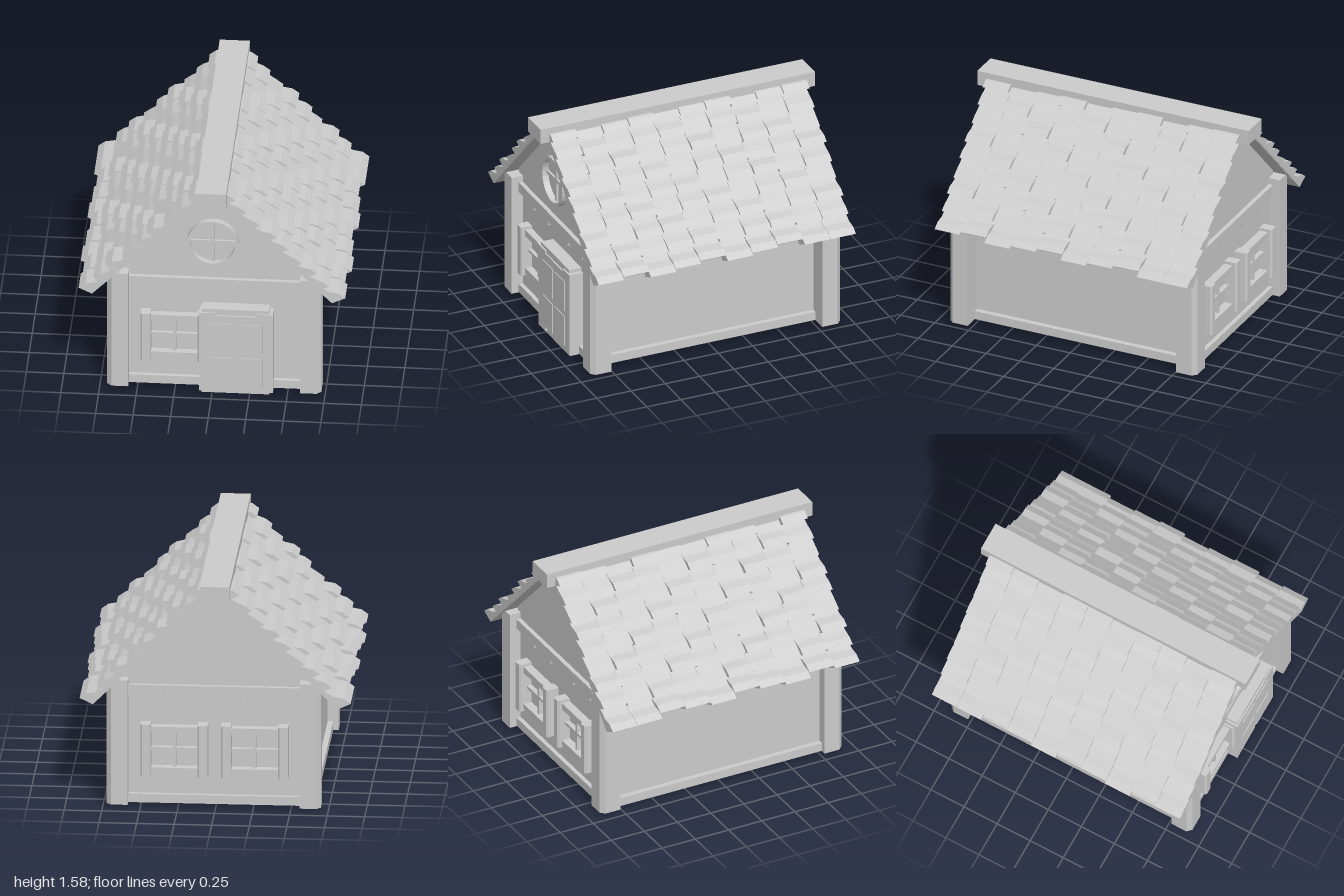
import * as THREE from 'three';
import { mergeGeometries } from 'three/addons/utils/BufferGeometryUtils.js';

const material = new THREE.MeshStandardMaterial({ color: 0xcccccc, flatShading: true });

function add(parent, name, geometry) {
  const mesh = new THREE.Mesh(geometry, material);
  mesh.name = name;
  parent.add(mesh);
  return mesh;
}

// Box given by its limits on each axis
function box(x0, x1, y0, y1, z0, z1) {
  return new THREE.BoxGeometry(x1 - x0, y1 - y0, z1 - z0)
    .translate((x0 + x1) / 2, (y0 + y1) / 2, (z0 + z1) / 2);
}

// Outline in x and y, extruded from z0 to z1
function slab(points, z0, z1) {
  const shape = new THREE.Shape(points.map(([x, y]) => new THREE.Vector2(x, y)));
  return new THREE.ExtrudeGeometry(shape, { depth: z1 - z0, bevelEnabled: false }).translate(0, 0, z0);
}

// Outline in x and z, standing from y0 to y1
function upright(points, y0, y1) {
  return slab(points.map(([x, z]) => [x, -z]), y0, y1).rotateX(-Math.PI / 2);
}

// Post with its outer corner cut off; sx and sz pick the corner of the house
function cornerPost(sx, sz) {
  const w = 0.071, cut = 0.03;
  const outline = [[-w, -w], [w, -w], [w, w - cut], [w - cut, w], [-w, w]];
  const points = outline.map(([x, z]) => [sx * (0.642 + x) + 0.012, sz * (0.84 + z)]);
  return upright(points, 0.017, 0.885);
}

// Board with pointed scallops hanging from its lower edge
function scallopedBoard(half, centres, z0, z1) {
  const points = [[half, 0.84], [-half, 0.84], [-half, 0.77]];
  for (const c of centres) {
    points.push([c - 0.06, 0.77], [c - 0.055, 0.74], [c, 0.71], [c + 0.055, 0.74], [c + 0.06, 0.77]);
  }
  points.push([half, 0.77]);
  return slab(points, z0, z1);
}

// Window facing +z, centred on x = 0 and the wall face at z = 0
function makeWindow() {
  const w = new THREE.Group();
  w.name = 'window';
  const w2 = 0.034, cut = 0.012;
  const outline = [[-w2, -0.01], [w2, -0.01], [w2, 0.08 - cut], [w2 - cut, 0.08], [cut - w2, 0.08], [-w2, 0.08 - cut]];
  for (const s of [-1, 1]) add(w, 'windowPost', upright(outline.map(([x, z]) => [x + s * 0.19, z]), 0.22, 0.58));
  add(w, 'windowSill', box(-0.18, 0.18, 0.235, 0.275, -0.07, 0.05));
  add(w, 'windowHead', box(-0.18, 0.18, 0.515, 0.56, -0.07, 0.05));
  add(w, 'verticalBar', box(-0.01, 0.01, 0.275, 0.515, -0.055, 0.025));
  add(w, 'horizontalBar', box(-0.18, 0.18, 0.39, 0.41, -0.065, 0.025));
  return w;
}

// Point on a roof slope: s runs down from the ridge, n stands off the underside
const k = Math.SQRT1_2;
const roofPoint = (side, s, n) => [side * (s + n) * k, 1.535 + (n - s) * k];

function makeRoof() {
  const roof = new THREE.Group();
  roof.name = 'roof';
  let seed = 7;
  const random = () => (seed = (seed * 16807) % 2147483647) / 2147483647;
  const columns = 10, rows = 9, width = 1.87 / columns;
  const reach = [0.028, -0.012, 0.008];
  for (const side of [-1, 1]) {
    const deck = [[0, 0], [1.12, 0], [1.12, 0.025], [0, 0.025]];
    add(roof, 'roofDeck', slab(deck.map(([s, n]) => roofPoint(side, s, n)), -0.93, 0.93));
    const tiles = [];
    for (let c = 0; c < columns; c++) {
      for (let r = 0; r < rows; r++) {
        // The eaves row steps in and out by column, the others vary a little
        const eaves = r === 0;
        const end = 1.155 - r * 0.127 + (eaves ? reach[c === 0 ? 0 : (c + 2) % 3] : (random() - 0.5) * 0.02);
        const tip = eaves ? 0.092 : 0.062 + 0.012 * ((c * 2 + r) % 3) + random() * 0.008;
        const start = Math.max(end - 0.2, 0.01);
        const foot = eaves ? 0 : 0.004;
        const profile = [[start, foot], [end - 0.033, foot], [end, tip],
          [end - 0.055, tip - 0.008], [end - 0.11, 0.046], [start, 0.025]];
        const z = -0.935 + c * width;
        tiles.push(slab(profile.map(([s, n]) => roofPoint(side, s, n)), z + 0.001, z + width - 0.001));
      }
    }
    add(roof, 'roofShingles', mergeGeometries(tiles));
  }
  add(roof, 'ridgeBeam', box(-0.1, 0.1, 1.475, 1.58, -1, 1));
  return roof;
}

function makeDoor() {
  const door = new THREE.Group();
  door.name = 'door';
  add(door, 'doorSlab', box(0.02, 0.3, 0.05, 0.6, 0.82, 0.93));
  for (const x of [-0.085, 0.3]) add(door, 'doorStile', box(x, x + 0.105, 0.02, 0.62, 0.82, 0.93));
  add(door, 'doorLintel', box(-0.07, 0.38, 0.6, 0.645, 0.81, 0.92));
  add(door, 'doorStep', box(-0.07, 0.38, 0, 0.05, 0.84, 0.915));
  // Four shallow panels
  for (const x of [0.065, 0.255]) {
    for (const y of [0.17, 0.43]) add(door, 'doorPanel', box(x - 0.08, x + 0.08, y - 0.11, y + 0.11, 0.92, 0.936));
  }
  return door;
}

// Ring with a crossed bar in the front gable
function makeRoundWindow() {
  const w = new THREE.Group();
  w.name = 'roundWindow';
  const ring = new THREE.Shape().absarc(0, 0, 0.172, 0, Math.PI * 2);
  ring.holes.push(new THREE.Path().absarc(0, 0, 0.15, 0, Math.PI * 2, true));
  add(w, 'roundFrame', new THREE.ExtrudeGeometry(ring, { depth: 0.05, bevelEnabled: false, curveSegments: 14 }));
  add(w, 'verticalBar', box(-0.011, 0.011, -0.152, 0.152, 0, 0.02));
  add(w, 'horizontalBar', box(-0.152, 0.152, -0.011, 0.011, 0, 0.02));
  w.position.set(0, 1.12, 0.825);
  return w;
}

export function createModel() {
  const house = new THREE.Group();
  house.name = 'cottage';

  // End walls with beams and scalloped boards
  const gable = [[-0.62, 0.03], [0.62, 0.03], [0.62, 0.925], [0, 1.545], [-0.62, 0.925]];
  add(house, 'frontWall', slab(gable, 0.805, 0.83));
  add(house, 'backWall', slab(gable, -0.83, -0.805));
  for (const s of [-1, 1]) {
    add(house, 'endBaseBeam', box(-0.6, 0.62, 0.02, 0.08, s * 0.815 - 0.045, s * 0.815 + 0.045));
    const endBoard = add(house, 'endTrim', scallopedBoard(0.575, [-0.39, -0.16, 0.16, 0.39], 0.82, 0.86));
    endBoard.rotation.y = s > 0 ? 0 : Math.PI;
    endBoard.position.x = 0.01;
    for (const t of [-1, 1]) add(house, 'cornerPost', cornerPost(s, t));
  }

  // Side walls; the left one is set further in
  for (const [s, x] of [[-1, 0.62], [1, 0.575]]) {
    add(house, 'sideWall', box(s * x - 0.008, s * x + 0.008, 0.03, 0.95, -0.81, 0.81));
    add(house, 'sideBaseBeam', box(s * x - 0.045, s * x + 0.045, 0.02, 0.08, -0.8, 0.8));
    const sideBoard = add(house, 'sideTrim', scallopedBoard(0.78, [-0.4, -0.2, 0, 0.2, 0.4], x, x + 0.04));
    sideBoard.rotation.y = s * Math.PI / 2;
  }

  // One window beside the door, two at the back
  const frontWindow = makeWindow();
  frontWindow.position.set(-0.255, 0, 0.83);
  house.add(frontWindow);
  for (const x of [0.275, -0.26]) {
    const backWindow = makeWindow();
    backWindow.rotation.y = Math.PI;
    backWindow.position.set(x, 0, -0.84);
    house.add(backWindow);
  }

  house.add(makeDoor(), makeRoundWindow(), makeRoof());
  return house;
}
